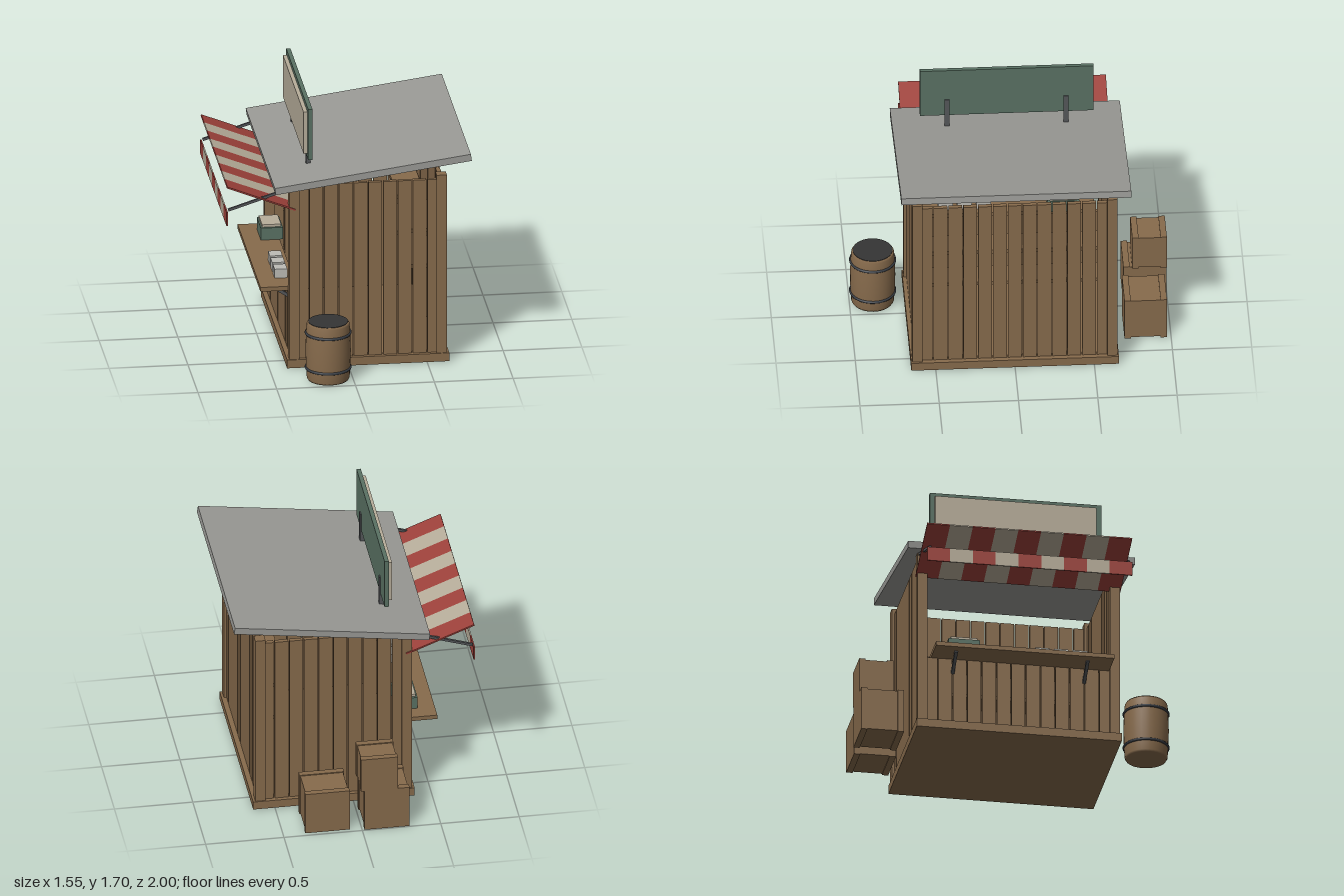
import * as THREE from 'three';

const mat = (name, color, side = THREE.FrontSide) => {
  const m = new THREE.MeshStandardMaterial({ color, side });
  m.name = name;
  return m;
};

export function createModel() {
  const root = new THREE.Group();
  root.name = 'marketStall';
  const wood = mat('wood', 0x876b4c);
  const roofGrey = mat('roofGrey', 0x9a9a96);
  const red = mat('awningRed', 0x9e423b);
  const cream = mat('cream', 0xb8ae9b);
  const green = mat('green', 0x5a7264);
  const metal = mat('metal', 0x55575a);
  const iron = mat('iron', 0x363b42);
  const dark = mat('barrelTop', 0x353535);
  const pale = mat('paleGrey', 0xbdbcb6);

  const add = (parent, name, geo, material) => {
    const mesh = new THREE.Mesh(geo, material);
    mesh.name = name;
    parent.add(mesh);
    return mesh;
  };
  const group = (name) => {
    const g = new THREE.Group();
    g.name = name;
    root.add(g);
    return g;
  };
  // Box given by its limits on each axis
  const box = (parent, name, m, x0, x1, y0, y1, z0, z1) => {
    const mesh = add(parent, name, new THREE.BoxGeometry(x1 - x0, y1 - y0, z1 - z0), m);
    mesh.position.set((x0 + x1) / 2, (y0 + y1) / 2, (z0 + z1) / 2);
    return mesh;
  };
  // Straight bar between two points in the xy plane
  const bar = (parent, name, m, x0, y0, x1, y1, z, thick, depth) => {
    const mesh = add(parent, name, new THREE.BoxGeometry(Math.hypot(x1 - x0, y1 - y0), thick, depth), m);
    mesh.position.set((x0 + x1) / 2, (y0 + y1) / 2, z);
    mesh.rotation.z = Math.atan2(y1 - y0, x1 - x0);
    return mesh;
  };

  // Base and corner posts
  box(root, 'base', wood, -0.39, 0.64, 0.005, 0.06, -0.655, 0.655);
  const posts = group('cornerPosts');
  for (const z of [-0.615, 0.615]) {
    box(posts, 'counterPost', wood, -0.375, -0.31, 0.06, 1.215, z - 0.0325, z + 0.0325);
    box(posts, 'rearPost', wood, 0.56, 0.625, 0.06, 1.255, z - 0.0325, z + 0.0325);
  }

  // Plank walls with narrow gaps
  const planks = group('plankWalls');
  const pitch = 0.0937, half = 0.0432;
  for (let i = 0; i < 10; i++) {
    const x = 0.1265 + (i - 4.5) * pitch;
    for (const z of [-0.615, 0.615])
      box(planks, 'sidePlank', wood, x - half, x + half, 0.06, 1.222, z - 0.014, z + 0.014);
  }
  for (let k = -6; k <= 6; k++) {
    const z = k * pitch;
    box(planks, 'rearPlank', wood, 0.58, 0.608, 0.06, 1.222, z - half, z + half);
    box(planks, 'counterPlank', wood, -0.36, -0.332, 0.06, 0.5, z - half, z + half);
  }
  box(root, 'header', wood, -0.362, -0.325, 1.15, 1.21, -0.6, 0.6);

  // Shelves inside the rear wall
  for (const y of [0.6, 0.84]) box(root, 'shelf', wood, 0.4, 0.575, y, y + 0.025, -0.55, 0.55);

  // Sloping roof
  const roof = add(root, 'roof', new THREE.BoxGeometry(1.256, 0.045, 1.45), roofGrey);
  roof.position.set(0.148, 1.308, 0);
  roof.rotation.z = 0.137;

  // Sign on two posts
  const sign = group('sign');
  box(sign, 'signBoard', green, -0.243, -0.216, 1.36, 1.7, -0.545, 0.55);
  box(sign, 'signPanel', cream, -0.268, -0.243, 1.39, 1.67, -0.515, 0.515);
  for (const z of [-0.37, 0.38])
    box(sign, 'signPost', metal, -0.237, -0.208, 1.25, 1.48, z - 0.015, z + 0.015);

  // Striped awning, valance and rods
  const awning = group('awning');
  const stripe = 1.31 / 9;
  for (let i = 0; i < 9; i++) {
    const z = (i - 4) * stripe, m = i % 2 ? cream : red;
    bar(awning, 'awningStripe', m, -0.77, 1.238, -0.337, 1.066, z, 0.01, stripe);
    box(awning, 'valanceStripe', m, -0.775, -0.766, 0.98, 1.073, z - stripe / 2, z + stripe / 2);
  }
  for (const z of [-0.635, 0.635]) bar(awning, 'awningRod', metal, -0.762, 1.08, -0.335, 1.218, z, 0.016, 0.016);

  // Counter with braces
  box(root, 'counter', wood, -0.55, -0.32, 0.5, 0.528, -0.56, 0.58);
  for (const z of [-0.42, 0.42]) bar(root, 'counterBrace', metal, -0.49, 0.498, -0.35, 0.405, z, 0.02, 0.02);

  // Goods on the counter
  const goods = group('goods');
  box(goods, 'goodsTray', green, -0.44, -0.3, 0.528, 0.608, -0.46, -0.26);
  box(goods, 'trayFilling', cream, -0.43, -0.31, 0.6, 0.625, -0.445, -0.275);
  for (const z of [0.14, 0.26, 0.38])
    box(goods, 'smallBox', pale, -0.44, -0.36, 0.528, 0.588, z - 0.046, z + 0.046);

  // Crates with a raised band at each end
  const crate = (x0, x1, y0, y1, z0, z1) => {
    const g = group('crate'), e = 0.006;
    box(g, 'crateBody', wood, x0 + e, x1 - e, y0 + e, y1 - e, z0 + e, z1 - e);
    for (const z of [z0 + 0.006, z1 - 0.046]) box(g, 'crateBand', wood, x0, x1, y0, y1, z, z + 0.04);
  };
  crate(0.076, 0.36, 0, 0.288, -0.98, -0.7);
  crate(-0.302, -0.015, 0, 0.288, -1, -0.715);
  crate(-0.228, 0.008, 0.288, 0.522, -1, -0.77);

  // Barrel with hoops and a dark top
  const barrel = group('barrel');
  barrel.position.set(-0.155, 0, 0.852);
  const profile = [[0, 0], [0.128, 0], [0.135, 0.012], [0.14, 0.08], [0.143, 0.195], [0.14, 0.31], [0.135, 0.372],
    [0.128, 0.384], [0, 0.384]].map(([r, y]) => new THREE.Vector2(r, y));
  add(barrel, 'barrelBody', new THREE.LatheGeometry(profile, 32), wood);
  add(barrel, 'barrelLid', new THREE.CylinderGeometry(0.125, 0.125, 0.006, 32), dark).position.y = 0.384;
  for (const y of [0.08, 0.312]) {
    const hoop = add(barrel, 'barrelHoop', new THREE.TorusGeometry(0.14, 0.009, 8, 32), iron);
    hoop.rotation.x = Math.PI / 2;
    hoop.position.y = y;
  }
  return root;
}
